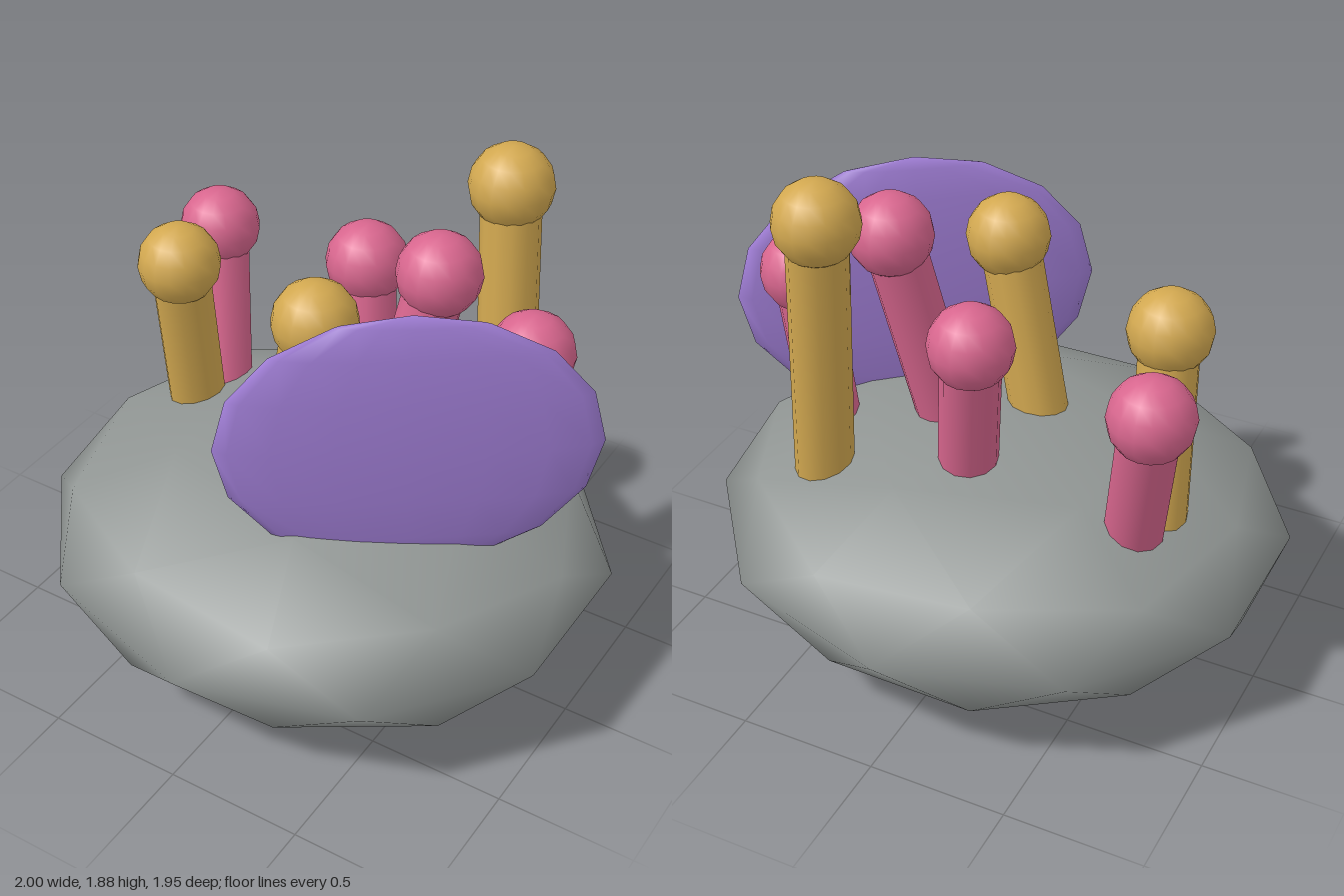
import * as THREE from 'three';

const mat = (name, color) => {
  const m = new THREE.MeshStandardMaterial({ color });
  m.name = name;
  return m;
};

export function createModel() {
  const group = new THREE.Group();
  const stone = mat('stone grey', 0x909593);
  const gold = mat('gold', 0xd2a850);
  const pink = mat('pink', 0xd8668e);
  const purple = mat('purple', 0x9f7dd4);

  const add = (name, geometry, material, parent = group) => {
    const mesh = new THREE.Mesh(geometry, material);
    mesh.name = name;
    parent.add(mesh);
    return mesh;
  };

  // Flattened rock: icosphere with a vertex at each pole
  const rock = new THREE.IcosahedronGeometry(1, 1);
  rock.rotateZ(-Math.atan(2 / (1 + Math.sqrt(5))));
  rock.scale(1.05, 0.415, 0.975);
  add('rock', rock, stone).position.y = 0.415;

  // Upright fan: thin ellipsoid, partly sunk in the rock
  const fan = add('fan', new THREE.SphereGeometry(1, 16, 8).scale(0.645, 0.51, 0.065), purple);
  fan.position.set(0.46, 1.12, 0.235);
  fan.rotation.y = 0.61;

  // Leaning stalks with ball tips: [material, foot on the rock, ball centre]
  const stalks = [
    [gold, [0.51, 0.7, -0.375], [0.42, 1.73, -0.48]],
    [gold, [-0.64, 0.7, -0.1], [-0.61, 1.34, 0.01]],
    [gold, [-0.065, 0.8, 0.16], [0.07, 1.44, 0.19]],
    [pink, [-0.615, 0.72, -0.24], [-0.71, 1.26, -0.38]],
    [pink, [0.01, 0.8, -0.24], [-0.065, 1.335, -0.36]],
    [pink, [0.225, 0.78, 0], [0.345, 1.54, -0.14]],
    [pink, [0.625, 0.7, -0.125], [0.685, 1.33, -0.17]],
  ];
  const up = new THREE.Vector3(0, 1, 0);
  for (const [material, foot, tip] of stalks) {
    const end = new THREE.Vector3(...tip);
    const dir = end.clone().sub(new THREE.Vector3(...foot));
    const length = dir.length() + 0.12; // root reaches inside the rock
    const polyp = new THREE.Group();
    polyp.name = 'polyp';
    polyp.position.copy(end);
    group.add(polyp);
    const stalk = add('stalk', new THREE.CylinderGeometry(0.105, 0.105, length, 12).translate(0, -length / 2, 0), material, polyp);
    stalk.quaternion.setFromUnitVectors(up, dir.normalize());
    add('tip', new THREE.SphereGeometry(0.148, 16, 8), material, polyp);
  }
  return group;
}
